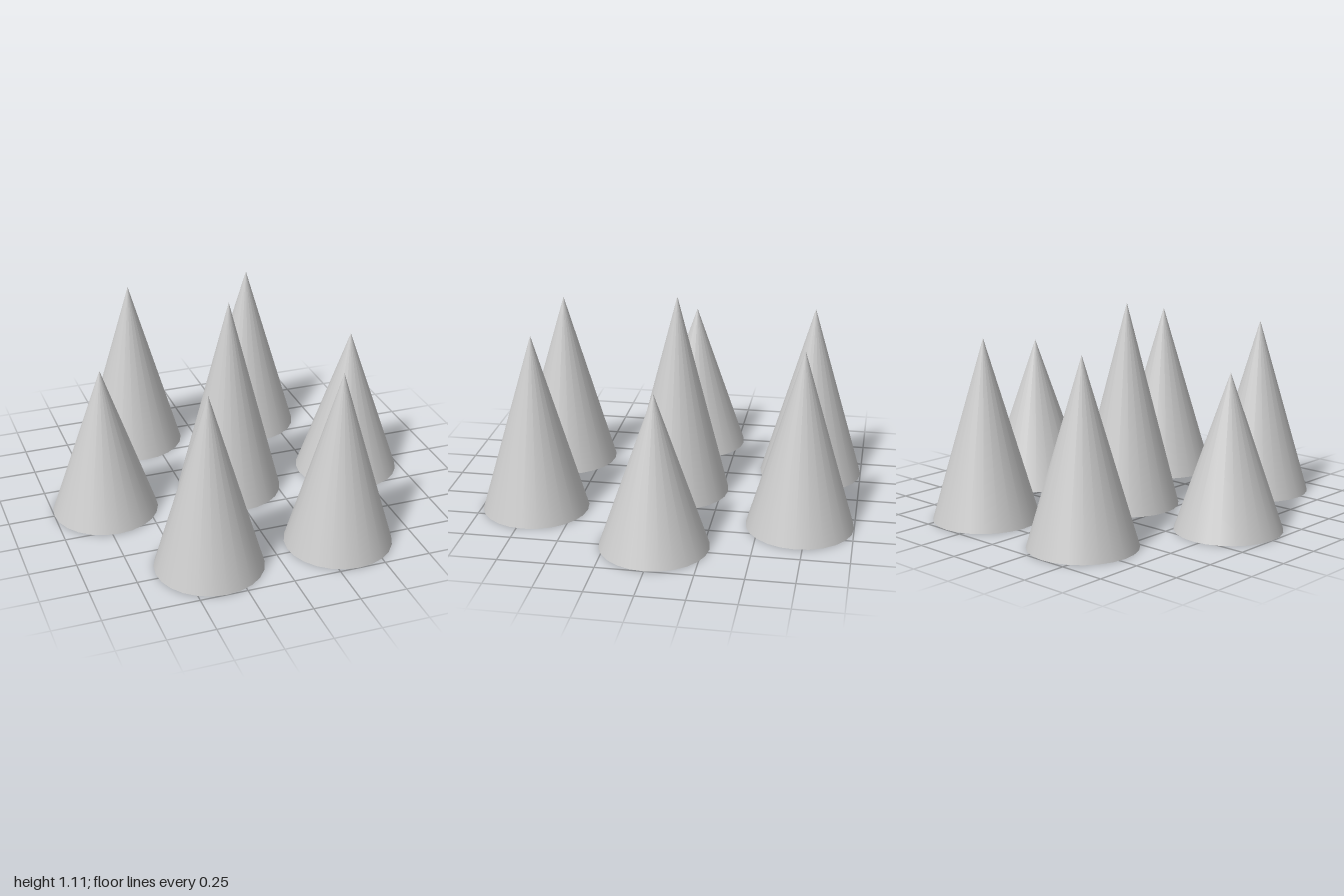
import * as THREE from 'three';

const RADIUS = 2 / 7;
const SPACING = 5 / 7;
const SEGMENTS = 24;

export function createModel() {
  const group = new THREE.Group();
  group.name = 'coneCluster';
  const material = new THREE.MeshStandardMaterial({ color: 0xcccccc });

  // One closed cone standing on the ground
  function addCone(name, x, z, height) {
    const geometry = new THREE.ConeGeometry(RADIUS, height, SEGMENTS);
    geometry.translate(0, height / 2, 0);
    const cone = new THREE.Mesh(geometry, material);
    cone.name = name;
    cone.position.set(x, 0, z);
    group.add(cone);
  }

  // Tallest cone in the middle
  addCone('centreCone', 0, 0, 1.114);

  for (const [side, sx] of [['Left', 1], ['Right', -1]]) {
    // Short cones at the sides of the middle row
    addCone(`side${side}Cone`, sx * SPACING, 0, 0.829);
    // Medium cones in the front and back rows
    addCone(`front${side}Cone`, sx * SPACING / 2, SPACING, 0.971);
    addCone(`back${side}Cone`, sx * SPACING / 2, -SPACING, 0.971);
  }

  return group;
}
